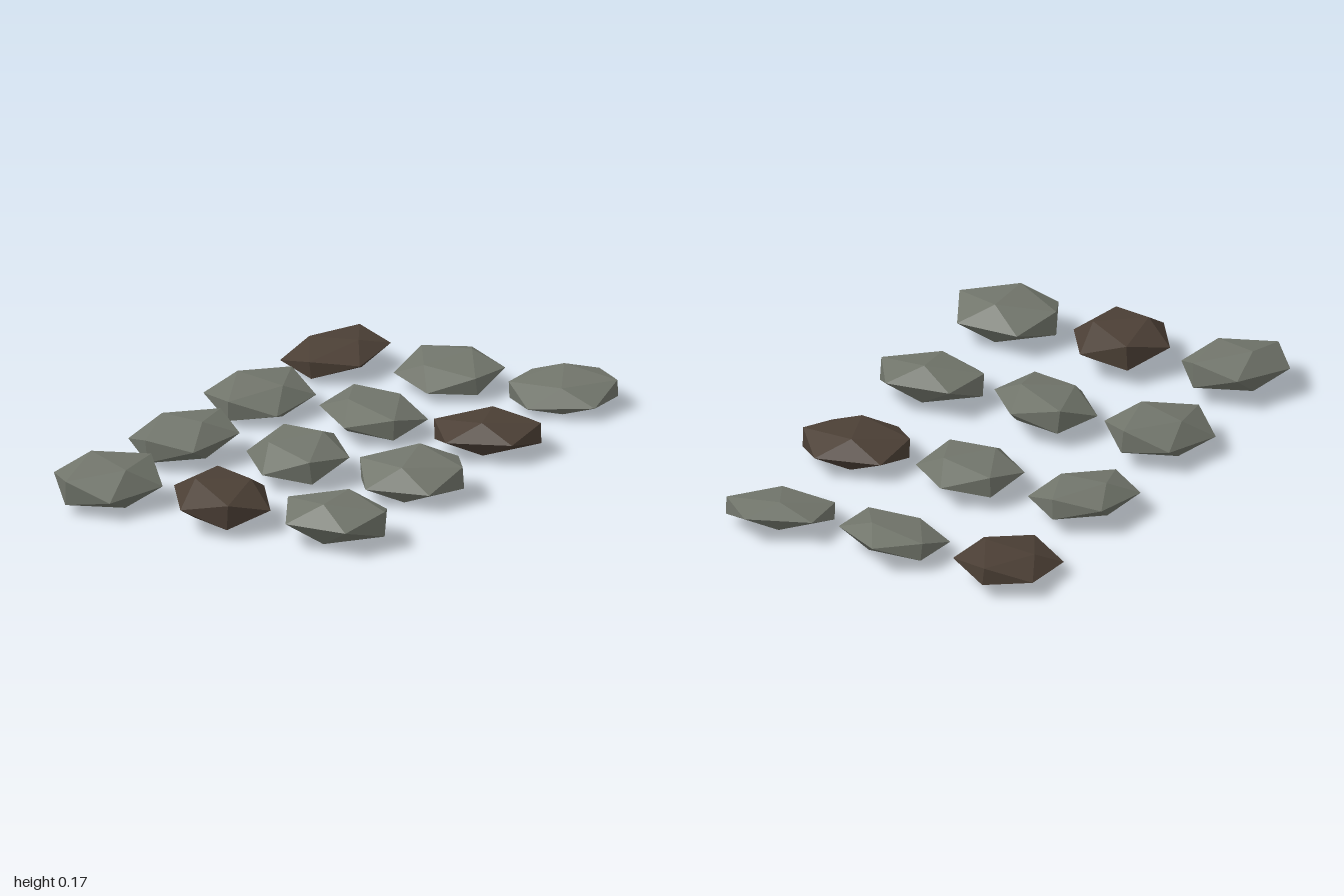
import * as THREE from 'three';

export function createModel() {
  const group = new THREE.Group();
  group.name = 'steppingStones';
  const greyStone = new THREE.MeshStandardMaterial({ color: 0x70746a });
  greyStone.name = 'greyStone';
  greyStone.flatShading = true;
  const brownStone = new THREE.MeshStandardMaterial({ color: 0x4b3f35 });
  brownStone.name = 'brownStone';
  brownStone.flatShading = true;

  const pebble = new THREE.IcosahedronGeometry(1, 0);
  const tilt = 0.08;
  // half thickness and centre height of each row, back to front
  const rows = [[0.057, 0.065], [0.067, 0.075], [0.076, 0.086], [0.082, 0.091]];

  // four rows of three flattened stones, each turned one radian further
  rows.forEach(([thickness, y], row) => {
    for (let col = 0; col < 3; col++) {
      const i = row * 3 + col;
      const stone = new THREE.Mesh(pebble, i % 5 === 0 ? brownStone : greyStone);
      stone.name = `stone${i + 1}`;
      stone.scale.set(0.178, thickness, 0.214);
      stone.rotation.set(tilt, i, tilt);
      stone.position.set((col - 1) * 0.43, y, (row - 1.5) * 0.545);
      group.add(stone);
    }
  });
  return group;
}
